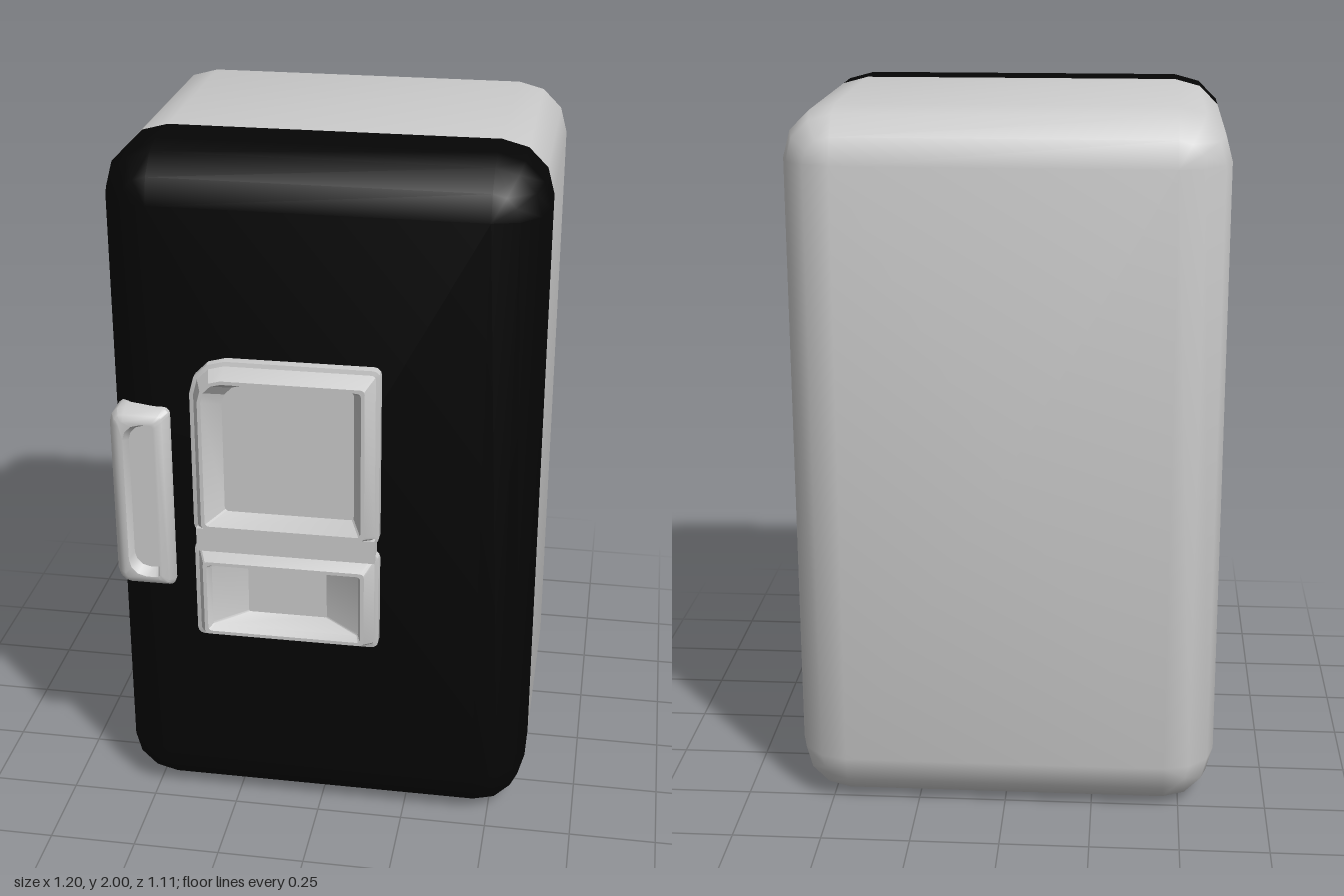
import * as THREE from 'three';
import { toCreasedNormals } from 'three/addons/utils/BufferGeometryUtils.js';

const grey = new THREE.MeshStandardMaterial({ color: 0xcccccc });
const black = new THREE.MeshStandardMaterial({ color: 0x050505 });

// Rounded rectangle, counter-clockwise seen from +z; radii: top right, top left, bottom left, bottom right
function roundedLoop({ x0, x1, y0, y1, z, radii }, segments = 3) {
  const corners = [[x1, y1, -1, -1], [x0, y1, 1, -1], [x0, y0, 1, 1], [x1, y0, -1, 1]];
  return corners.flatMap(([x, y, sx, sy], k) => {
    const r = radii[k];
    return Array.from({ length: segments + 1 }, (_, i) => {
      const a = (k + i / segments) * Math.PI / 2;
      return new THREE.Vector3(x + sx * r + r * Math.cos(a), y + sy * r + r * Math.sin(a), z);
    });
  });
}

// Skin a series of loops and close both ends
function loft(name, sections, material, crease) {
  const loops = sections.map((s) => roundedLoop(s));
  const pos = [];
  const tri = (...pts) => {
    const [a, b, c] = pts;
    const area = b.clone().sub(a).cross(c.clone().sub(a)).length();
    if (area > 1e-9) pts.forEach((p) => pos.push(p.x, p.y, p.z));
  };
  const n = loops[0].length;
  const middle = (s) => new THREE.Vector3((s.x0 + s.x1) / 2, (s.y0 + s.y1) / 2, s.z);
  const first = loops[0], last = loops[loops.length - 1];
  const c0 = middle(sections[0]), c1 = middle(sections[sections.length - 1]);
  for (let i = 0; i < n; i++) {
    const j = (i + 1) % n;
    for (let k = 0; k < loops.length - 1; k++) {
      const a = loops[k], b = loops[k + 1];
      tri(a[i], a[j], b[j]);
      tri(a[i], b[j], b[i]);
    }
    tri(c0, first[j], first[i]);
    tri(c1, last[i], last[j]);
  }
  const geometry = new THREE.BufferGeometry();
  geometry.setAttribute('position', new THREE.Float32BufferAttribute(pos, 3));
  const mesh = new THREE.Mesh(toCreasedNormals(geometry, crease), material);
  mesh.name = name;
  return mesh;
}

// Section from explicit bounds
const section = (x0, x1, y0, y1, z, radii) => ({ x0, x1, y0, y1, z, radii });

// Section inset from a base outline, with radii shrinking to match
function inset(base, d, z) {
  return section(base.x0 + d, base.x1 - d, base.y0 + d, base.y1 - d, z,
    base.radii.map((r) => Math.max(r - d, 0.012)));
}

// One section of the cabinet's rounded shell; t is the angle into the rounded edge
const R = 0.145;
function shell(z, t = 0) {
  const r = R * Math.cos(t), d = R - r;
  return section(-0.6 + d, 0.6 - d, d, 2 - d, z, [r, r, r, r]);
}

export function createModel() {
  const model = new THREE.Group();
  model.name = 'fridge';

  // Cabinet and door share one rounded outline, split at the seam
  const seam = 0.198, back = -0.556, front = 0.472;
  const steps = [0, 1, 2, 3].map((i) => i * Math.PI / 6);
  model.add(loft('cabinet', [
    ...[...steps].reverse().map((t) => shell(back + R - R * Math.sin(t), t)),
    shell(seam),
  ], grey, 0.7));
  model.add(loft('door', [
    shell(seam),
    ...steps.map((t) => shell(front - R + R * Math.sin(t), t)),
  ], black, 0.7));

  // Handle with a shallow grip recess
  const grip = section(-0.578, -0.41, 0.73, 1.28, 0, [0.018, 0.045, 0.045, 0.018]);
  model.add(loft('handle', [
    inset(grip, 0, 0.37),
    inset(grip, 0, 0.488),
    inset(grip, 0.014, 0.512),
    inset(grip, 0.03, 0.522),
    section(-0.536, -0.448, 0.768, 1.242, 0.522, [0.01, 0.05, 0.05, 0.01]),
    section(-0.526, -0.455, 0.785, 1.228, 0.492, [0.01, 0.045, 0.045, 0.01]),
  ], grey, 0.6));

  // Dispenser frames: vertical foot, ledge, sloped bevel, rim, then the recess
  const panel = new THREE.Group();
  panel.name = 'dispenserPanel';
  const frame = (name, outer, recess) => panel.add(loft(name, [
    inset(outer, 0, 0.46),
    inset(outer, 0, 0.5),
    inset(outer, 0.012, 0.503),
    inset(outer, 0.034, 0.555),
    inset(outer, 0.044, 0.555),
    ...recess,
  ], grey, 0.4));

  const upper = section(-0.347, 0.178, 0.918, 1.438, 0, [0.02, 0.1, 0.02, 0.02]);
  frame('upperFrame', upper, [
    section(-0.262, 0.104, 0.976, 1.363, 0.48, [0.012, 0.06, 0.012, 0.012]),
  ]);

  const lower = section(-0.347, 0.178, 0.583, 0.883, 0, [0.02, 0.02, 0.02, 0.02]);
  frame('lowerFrame', lower, [
    section(-0.292, 0.125, 0.638, 0.832, 0.535, [0.008, 0.008, 0.008, 0.008]),
    section(-0.2, 0.026, 0.655, 0.826, 0.477, [0.005, 0.005, 0.005, 0.005]),
  ]);

  // Bar joining the two frames
  const bar = new THREE.Mesh(new THREE.BoxGeometry(0.505, 0.07, 0.06), grey);
  bar.name = 'frameBridge';
  bar.position.set(-0.0845, 0.9, 0.49);
  panel.add(bar);
  model.add(panel);

  return model;
}
